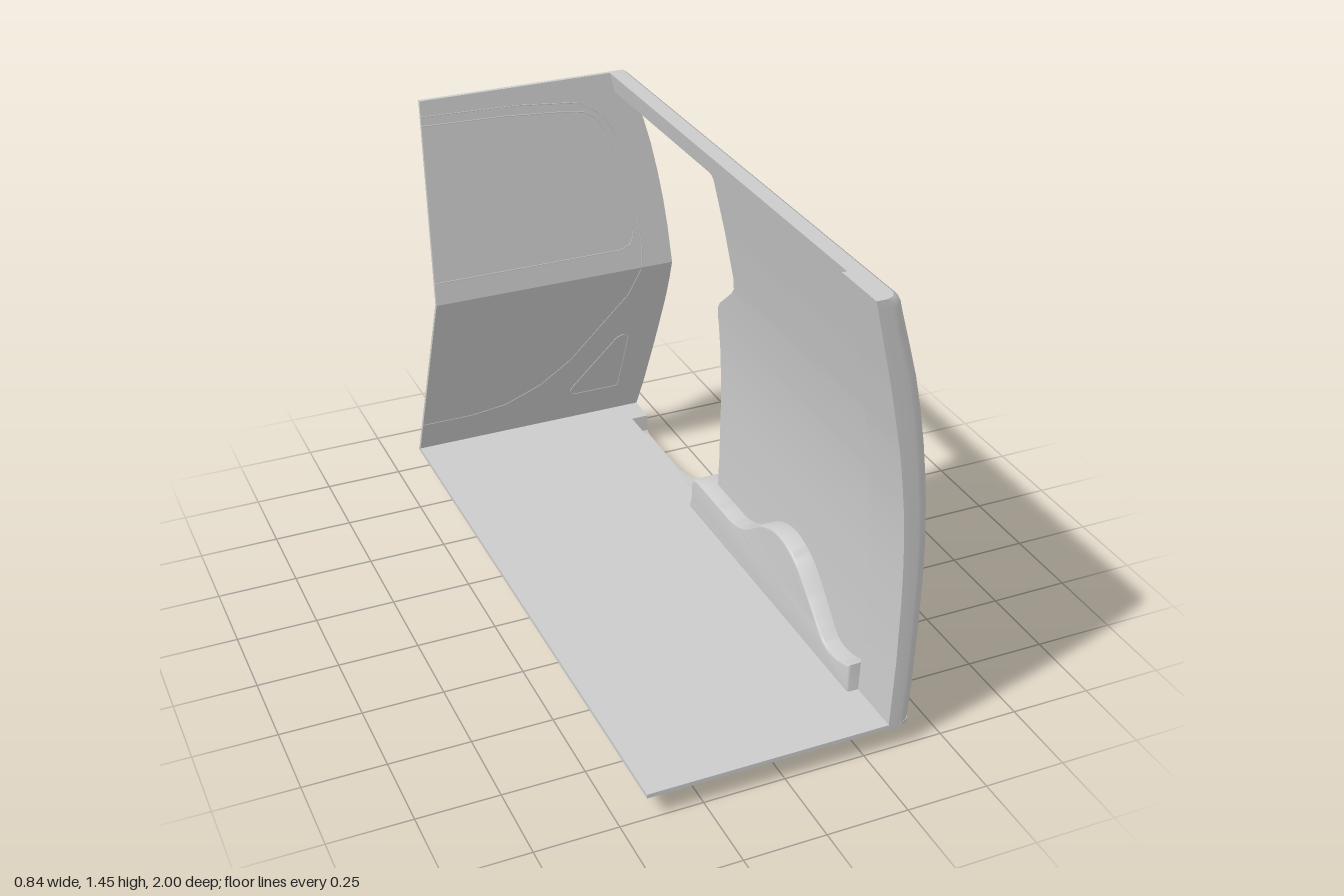
import * as THREE from 'three';
import { toCreasedNormals } from 'three/addons/utils/BufferGeometryUtils.js';

const material = new THREE.MeshStandardMaterial({ color: 0xcccccc, side: THREE.DoubleSide });

// Piecewise linear lookup in [[key, value], ...]
function lookup(table, y) {
  for (let i = 1; i < table.length; i++) {
    const [a, va] = table[i - 1], [b, vb] = table[i];
    if (y <= b) return va + (vb - va) * THREE.MathUtils.clamp((y - a) / (b - a), 0, 1);
  }
  return table[table.length - 1][1];
}

// Curves of the body by height
const outerX = y => lookup([[0.075, 0.4], [0.2, 0.408], [0.4, 0.414], [0.6, 0.416], [0.7, 0.413], [0.8, 0.406],
  [0.9, 0.396], [1, 0.383], [1.1, 0.366], [1.2, 0.345], [1.3, 0.318], [1.4, 0.29], [1.425, 0.284], [1.44, 0.276], [1.45, 0.262]], y);
const innerX = y => lookup([[0.075, 0.325], [0.3, 0.334], [0.55, 0.336], [0.7, 0.33], [0.8, 0.322], [0.9, 0.31],
  [1, 0.295], [1.2, 0.255], [1.45, 0.197]], y);
const doorEdgeZ = y => lookup([[0.075, -0.18], [0.83, -0.18], [0.86, -0.174], [0.885, -0.157], [0.97, -0.05],
  [0.995, -0.027], [1.04, -0.015], [1.365, -0.015], [1.38, -0.022], [1.385, -0.04], [1.386, -0.757], [1.45, -0.765]], y);
const bulkheadZ = y => lookup([[0.075, -1], [0.775, -0.708], [1.45, -0.767]], y);

// Skin closed horizontal sections stacked in y; section(y) gives [x, z] points
function loft(heights, section, crease = 0.6) {
  const rows = heights.map(section), n = rows[0].length;
  const pos = [], idx = [];
  rows.forEach((row, j) => row.forEach(([x, z]) => pos.push(x, heights[j], z)));
  for (let j = 0; j < rows.length - 1; j++) {
    for (let i = 0; i < n; i++) {
      const a = j * n + i, b = j * n + (i + 1) % n;
      idx.push(a, a + n, b, b, a + n, b + n);
    }
  }
  for (const j of [0, rows.length - 1]) {
    const contour = rows[j].map(([x, z]) => new THREE.Vector2(x, z));
    for (const t of THREE.ShapeUtils.triangulateShape(contour, [])) idx.push(...t.map(k => k + j * n));
  }
  const geo = new THREE.BufferGeometry();
  geo.setAttribute('position', new THREE.Float32BufferAttribute(pos, 3));
  geo.setIndex(idx);
  return toCreasedNormals(geo, crease);
}

// Extrude a side profile of [z, y] points from x0 to x1
function sideExtrude(points, x0, x1, bevel = 0) {
  const shape = new THREE.Shape(points.map(([z, y]) => new THREE.Vector2(-z, y)));
  const geo = new THREE.ExtrudeGeometry(shape, {
    depth: x1 - x0 - 2 * bevel, bevelEnabled: bevel > 0, bevelSize: bevel, bevelThickness: bevel,
    bevelOffset: -bevel, bevelSegments: 4,
  });
  geo.rotateY(Math.PI / 2).translate(x0 + bevel, 0, 0);
  return toCreasedNormals(geo, 0.6);
}

export function createModel() {
  const model = new THREE.Group();
  const add = (name, geo) => {
    const mesh = new THREE.Mesh(geo, material);
    mesh.name = name;
    model.add(mesh);
  };

  // Side wall with roof rail, door opening, rounded front corner and thicker front pillar
  const wallRows = [0.075, 0.2, 0.3, 0.4, 0.5, 0.6, 0.7, 0.8, 0.83, 0.86, 0.885, 0.93, 0.97, 0.995, 1.04, 1.1,
    1.15, 1.2, 1.25, 1.3, 1.365, 1.38, 1.385, 1.386, 1.4, 1.425, 1.44, 1.45];
  add('sideWall', loft(wallRows, y => {
    const xo = outerX(y), xi = innerX(y), z0 = doorEdgeZ(y), r = 0.04;
    const loop = [[xo, z0]];
    for (let k = 0; k <= 6; k++) {
      const a = k / 6 * Math.PI / 2;
      loop.push([xo - r + r * Math.cos(a), 1 - r + r * Math.sin(a)]);
    }
    loop.push([xi, 1], [xi, 0.82], [xi + 0.015, 0.82], [xi + 0.015, z0]);
    return loop;
  }));

  // Folded rear bulkhead, trimmed to the curve of the side wall
  const bulkRows = [0.075, 0.2, 0.4, 0.6, 0.7, 0.775, 0.9, 1, 1.1, 1.2, 1.3, 1.4, 1.425, 1.44, 1.45];
  add('bulkhead', loft(bulkRows, y => {
    const z = bulkheadZ(y), x = outerX(y);
    return [[-0.42, z], [-0.42, z + 0.013], [x, z + 0.013], [x, z]];
  }, 0.3));

  // Fine pressed seams on the inner face of the bulkhead
  const seam = (name, points, closed) => {
    const path = new THREE.CurvePath();
    const pts = points.map(([x, y]) => new THREE.Vector3(x, y, bulkheadZ(y) + 0.013));
    if (closed) pts.push(pts[0]);
    for (let i = 1; i < pts.length; i++) path.add(new THREE.LineCurve3(pts[i - 1], pts[i]));
    add(name, new THREE.TubeGeometry(path, 90, 0.002, 4));
  };
  seam('windowSeam', [[-0.42, 0.85], [0.22, 0.85], [0.26, 0.862], [0.272, 0.9], [0.19, 1.25], [0.16, 1.31],
    [0.12, 1.335], [0.05, 1.347], [-0.15, 1.362], [-0.42, 1.37]]);
  seam('panelSeam', [[-0.42, 0.205], [-0.24, 0.205], [-0.12, 0.225], [0, 0.29], [0.1, 0.39], [0.2, 0.55],
    [0.27, 0.66], [0.298, 0.775], [0.3, 0.85], [0.285, 0.97], [0.22, 1.25], [0.18, 1.32], [0.1, 1.37],
    [-0.1, 1.39], [-0.42, 1.4]]);
  seam('cornerSeam', [[0.135, 0.205], [0.3, 0.205], [0.305, 0.22], [0.305, 0.45], [0.285, 0.467],
    [0.26, 0.455], [0.125, 0.24], [0.12, 0.22]], true);

  // Floor with a notch for the door step and a rounded front corner
  const floor = new THREE.Shape();
  floor.moveTo(-0.42, -1);
  floor.lineTo(0.36, -1);
  floor.quadraticCurveTo(0.4, -1, 0.4, -0.96);
  for (const [x, z] of [[0.4, -0.28], [0.34, -0.28], [0.34, -0.88], [0.4, -0.88], [0.4, -1], [-0.42, -1]]) {
    floor.lineTo(x, -z);
  }
  floor.closePath();
  const floorGeo = new THREE.ExtrudeGeometry(floor, { depth: 0.013, bevelEnabled: false });
  floorGeo.rotateX(-Math.PI / 2).translate(0, 0.072, 0);
  add('floor', floorGeo);

  // Door step: sloping tread and its inner riser
  add('stepTread', sideExtrude([[-0.28, 0], [-0.9, 0], [-0.9, 0.08], [-0.88, 0.08], [-0.88, 0.025], [-0.87, 0.015],
    [-0.6, 0.015], [-0.32, 0.083], [-0.28, 0.1]], 0.338, 0.4));
  add('stepRiser', sideExtrude([[-0.28, 0], [-0.9, 0], [-0.9, 0.08], [-0.28, 0.08]], 0.31, 0.34));

  // Inner wheel arch running along the foot of the wall
  const crown = new THREE.SplineCurve([[0.82, 0.18], [0.74, 0.155], [0.66, 0.16], [0.57, 0.24], [0.47, 0.32],
    [0.36, 0.35], [0.25, 0.32], [0.15, 0.25], [0.06, 0.212], [-0.05, 0.208], [-0.22, 0.208]]
    .map(p => new THREE.Vector2(...p))).getPoints(50).map(p => [p.x, p.y]);
  add('wheelArch', sideExtrude([[0.82, 0.076], ...crown, [-0.25, 0.2], [-0.266, 0.17], [-0.266, 0.13],
    [-0.272, 0.105], [-0.28, 0.095], [-0.28, 0.076]], 0.29, 0.398, 0.008));

  return model;
}
